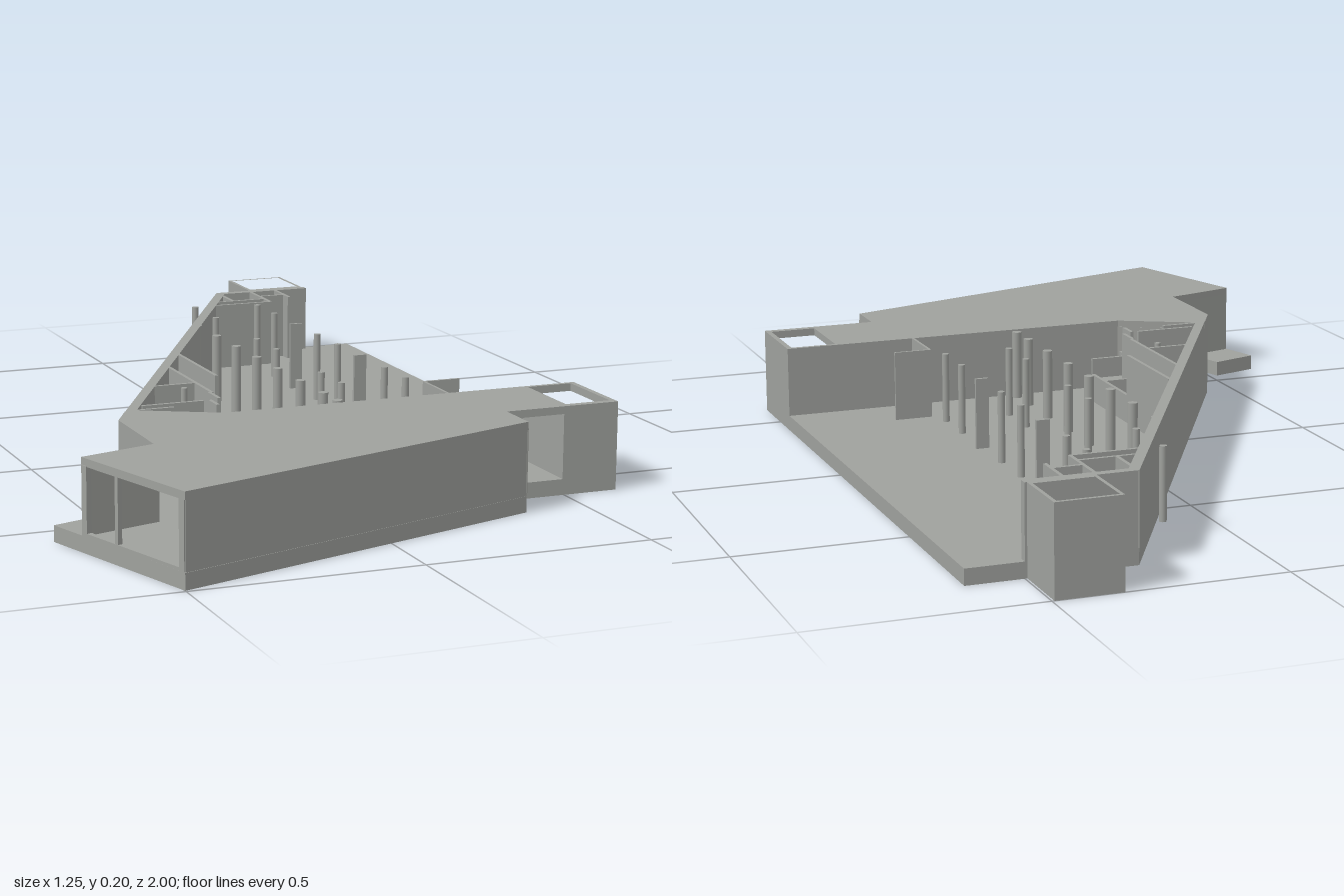
import * as THREE from 'three';

const FLOOR = 0.035, TOP = 0.195;

export function createModel() {
  const model = new THREE.Group();
  const grey = new THREE.MeshStandardMaterial({ color: 0x9fa19d });
  grey.name = 'concrete grey';

  function add(name, geometry, parent = model) {
    const mesh = new THREE.Mesh(geometry, grey);
    mesh.name = name;
    parent.add(mesh);
    return mesh;
  }
  function group(name) {
    const g = new THREE.Group();
    g.name = name;
    model.add(g);
    return g;
  }
  // Plan outline (x, z) raised from y0 to y1
  function plan(name, points, y0, y1, hole) {
    const toVec = ([x, z]) => new THREE.Vector2(x, -z);
    const shape = new THREE.Shape(points.map(toVec));
    if (hole) shape.holes.push(new THREE.Path(hole.map(toVec)));
    const geo = new THREE.ExtrudeGeometry(shape, { depth: y1 - y0, bevelEnabled: false });
    geo.rotateX(-Math.PI / 2).translate(0, y0, 0);
    return add(name, geo);
  }
  // Straight wall between two plan points
  function wall(parent, name, x1, z1, x2, z2, t = 0.008, y1 = TOP, y0 = FLOOR) {
    const geo = new THREE.BoxGeometry(Math.hypot(x2 - x1, z2 - z1), y1 - y0, t);
    const mesh = add(name, geo, parent);
    mesh.position.set((x1 + x2) / 2, (y0 + y1) / 2, (z1 + z2) / 2);
    mesh.rotation.y = -Math.atan2(z2 - z1, x2 - x1);
  }
  const rect = (x0, z0, x1, z1) => [[x0, z0], [x1, z0], [x1, z1], [x0, z1]];

  // Ground slab with the side porch
  plan('floorSlab', [
    [0.26, -0.85], [0.625, -0.85], [0.625, 0.62], [0.375, 0.62], [0.375, 0.635], [0.36, 0.635],
    [0.36, 0.72], [-0.5, 0.995], [-0.63, 0.58], [-0.52, 0.545], [-0.49, 0.637],
    [-0.43, 0.62], [-0.43, 0.4],
  ], 0, FLOOR);

  // Roof over the front wing, open above the corner shaft
  plan('frontRoof', [
    [-0.43, 0.4], [-0.43, 0.62], [-0.6, 0.67], [-0.5, 0.995], [0.36, 0.72], [0.36, 0.62],
    [0.625, 0.62], [0.625, 0.415], [-0.2, 0.415], [-0.36, 0.33], [-0.392, 0.33],
  ], 0.178, TOP, rect(0.508, 0.425, 0.613, 0.603));

  // Long slanted wall
  plan('slantedWall', [
    [0.26, -0.85], [0.275, -0.83], [-0.405, 0.4], [-0.43, 0.4],
  ], FLOOR, TOP);

  // Outer walls of the front wing, set just inside the slab edge
  const front = group('frontWing');
  const under = 0.18;
  wall(front, 'sideWall', -0.424, 0.4, -0.424, 0.62, 0.012, under);
  wall(front, 'porchWall', -0.424, 0.626, -0.597, 0.676, 0.012, under);
  wall(front, 'frontWall', -0.499, 0.987, 0.36, 0.713, 0.012, under);
  wall(front, 'returnWall', 0.354, 0.72, 0.354, 0.614, 0.012, under);
  wall(front, 'facade', -0.2, 0.42, 0.5, 0.42, 0.01, under);
  wall(front, 'angledFacade', -0.36, 0.335, -0.2, 0.42, 0.01, under);

  // Framed opening in the end wall
  const end = group('endOpening');
  const endPoint = (t) => [-0.595 + 0.1 * t, 0.672 + 0.318 * t];
  for (const [a, b] of [[0, 0.05], [0.95, 1]])
    wall(end, 'openingJamb', ...endPoint(a), ...endPoint(b), 0.012, under);
  wall(end, 'openingSill', ...endPoint(0), ...endPoint(1), 0.012, 0.042);
  wall(end, 'openingMullion', ...endPoint(0.33), ...endPoint(0.36), 0.01, under);

  // Hollow shafts: front corner and rear tower
  plan('cornerShaft', rect(0.496, 0.415, 0.625, 0.62), FLOOR, TOP, rect(0.508, 0.425, 0.613, 0.603));
  plan('rearTower', rect(0.35, -1, 0.495, -0.85), 0, TOP, rect(0.358, -0.992, 0.487, -0.862));
  plan('rearTowerFloor', rect(0.352, -0.998, 0.493, -0.852), 0.002, FLOOR);

  // Rooms at the narrow rear end
  const rear = group('rearRooms');
  wall(rear, 'rearWall', 0.262, -0.84, 0.5, -0.84, 0.02);
  for (const [x1, z1, x2, z2] of [
    [0.262, -0.83, 0.262, -0.735], [0.347, -0.83, 0.347, -0.695], [0.415, -0.83, 0.415, -0.735],
    [0.347, -0.77, 0.415, -0.77], [0.21, -0.735, 0.347, -0.735], [0.19, -0.695, 0.347, -0.695],
  ]) wall(rear, 'partition', x1, z1, x2, z2);

  // Rooms along the slanted wall: x1, z1, x2, z2, top
  const rooms = group('sideRooms');
  for (const [x1, z1, x2, z2, top] of [
    [-0.087, -0.18, -0.087, 0.07, TOP], [-0.087, 0.07, -0.087, 0.29, 0.1],
    [-0.155, -0.06, -0.155, 0.22, TOP], [-0.155, 0.22, -0.087, 0.22, 0.1],
    [-0.26, 0.12, -0.155, 0.12, TOP], [-0.34, 0.29, -0.2, 0.29, TOP],
    [-0.16, 0.22, -0.16, 0.28, TOP], [-0.37, 0.325, -0.28, 0.325, TOP],
    [-0.28, 0.29, -0.28, 0.35, 0.12], [-0.28, 0.35, -0.26, 0.35, 0.12],
    [-0.185, 0.29, -0.185, 0.34, TOP], [-0.205, 0.36, -0.11, 0.36, 0.12],
    [-0.205, 0.36, -0.205, 0.41, 0.12],
  ]) wall(rooms, 'partition', x1, z1, x2, z2, 0.008, top);
  wall(rooms, 'counter', -0.175, 0.29, -0.09, 0.29, 0.04, 0.085);

  // Small screen beside the corner shaft
  const screen = group('screen');
  wall(screen, 'screenSide', 0.32, 0.29, 0.32, 0.415, 0.006);
  wall(screen, 'screenBack', 0.32, 0.29, 0.405, 0.29, 0.006);

  // Column rows: x, radius, z positions
  const columns = group('columns');
  for (const [x, r, zs] of [
    [0.07, 0.011, [-0.475, -0.345, -0.215, -0.085, 0.045, 0.18, 0.31, 0.39]],
    [0.145, 0.008, [-0.695, -0.55, -0.275, -0.15, 0.12, 0.235]],
    [0.3, 0.008, [-0.665, -0.55, -0.275, -0.15, 0.12, 0.235]],
    [-0.197, 0.007, [0.16]],
  ]) for (const z of zs) {
    const geo = new THREE.CylinderGeometry(r, r, TOP - FLOOR, 16);
    add('column', geo, columns).position.set(x, (TOP + FLOOR) / 2, z);
  }
  for (const z of [-0.41, -0.02]) wall(columns, 'flatColumn', 0.285, z, 0.315, z, 0.008);

  return model;
}
